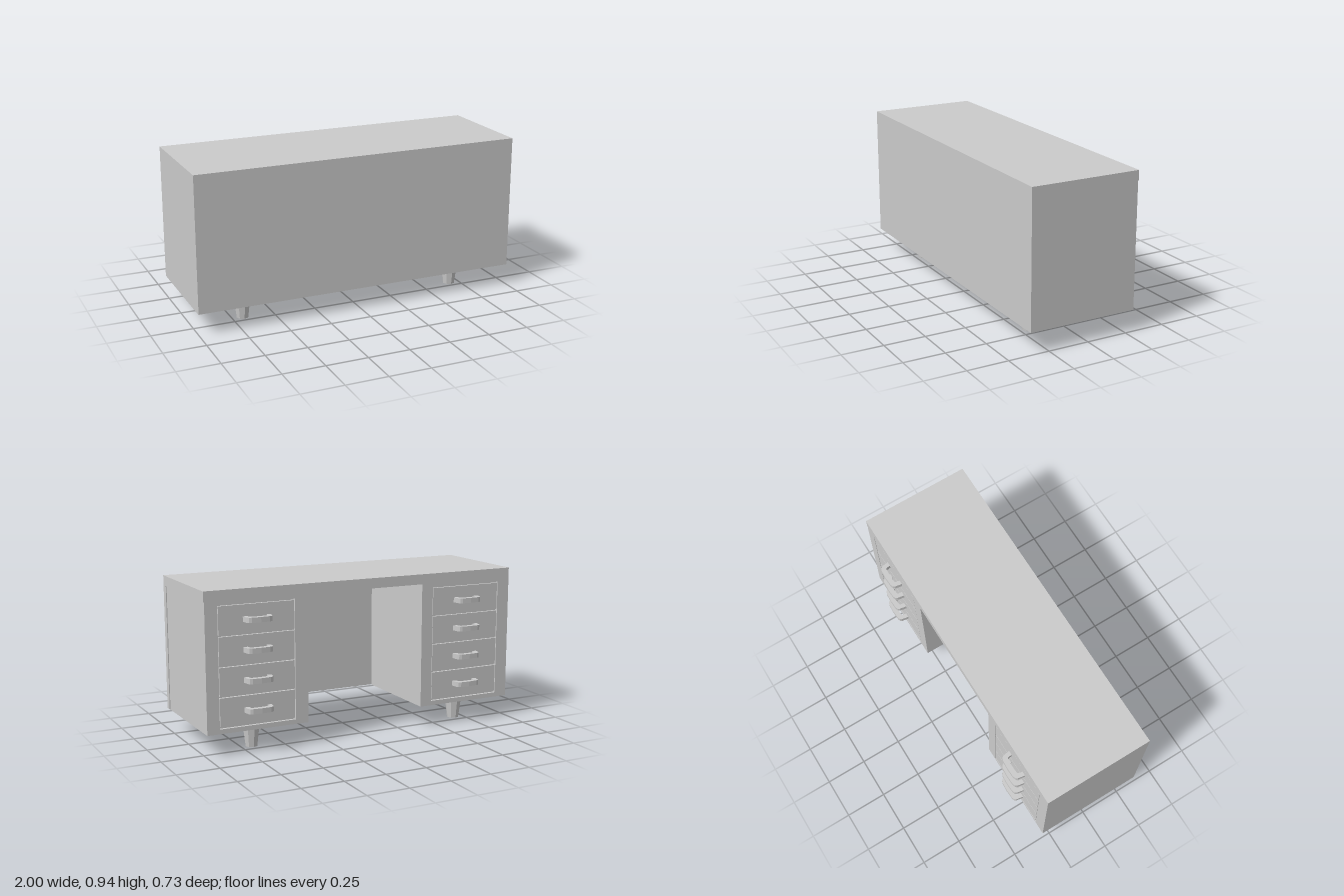
import * as THREE from 'three';

const material = new THREE.MeshStandardMaterial({ color: 0xcccccc, flatShading: true });

function add(parent, name, geometry, x = 0, y = 0, z = 0) {
  const mesh = new THREE.Mesh(geometry, material);
  mesh.name = name;
  mesh.position.set(x, y, z);
  parent.add(mesh);
  return mesh;
}

// Box given by its minimum and maximum on each axis
function addBox(parent, name, [x0, x1], [y0, y1], [z0, z1]) {
  return add(parent, name, new THREE.BoxGeometry(x1 - x0, y1 - y0, z1 - z0),
    (x0 + x1) / 2, (y0 + y1) / 2, (z0 + z1) / 2);
}

const polygon = (points) => points.map(([x, y]) => new THREE.Vector2(x, y));

const BACK = -0.302, FACE = 0.018, FRONT = 0.365;
const TOP = 0.94, UNDER = 0.88, BASE = 0.128;
const DRAWER_X = 0.687, DRAWER_W = 0.466, PITCH = 0.173, LOWEST = 0.25;
const SIDE = 0.995, KNEE_L = 0.373, KNEE_R = -0.38;

// Bow handle: trapezoid arch, open against the drawer
function handleGeometry() {
  const shape = new THREE.Shape(polygon([
    [-0.084, 0], [-0.077, 0.042], [-0.07, 0.053], [-0.055, 0.059], [0, 0.062],
    [0.055, 0.059], [0.07, 0.053], [0.077, 0.042], [0.084, 0],
    [0.057, 0], [0.054, 0.024], [0.047, 0.03], [0, 0.032],
    [-0.047, 0.03], [-0.054, 0.024], [-0.057, 0],
  ]));
  const geometry = new THREE.ExtrudeGeometry(shape, { depth: 0.03, bevelEnabled: false });
  return geometry.translate(0, 0, -0.015).rotateX(-Math.PI / 2);
}

export function createModel() {
  const desk = new THREE.Group();
  desk.name = 'desk';

  // Carcass: top, front panel and two pedestals
  addBox(desk, 'deskTop', [-1, 1], [UNDER, TOP], [BACK + FACE, FRONT]);
  addBox(desk, 'frontPanel', [-1, 1], [0.13, UNDER], [0.325, FRONT]);
  addBox(desk, 'leftPedestal', [KNEE_L, SIDE], [BASE, UNDER], [BACK + FACE, 0.325]);
  addBox(desk, 'rightPedestal', [-1, KNEE_R], [BASE, UNDER], [BACK + FACE, 0.325]);

  // Drawer-side frame, one plate with an opening in each pedestal
  const frame = new THREE.Shape(polygon([
    [-1, BASE], [KNEE_R, BASE], [KNEE_R, UNDER], [KNEE_L, UNDER], [KNEE_L, BASE],
    [SIDE, BASE], [SIDE, UNDER], [1, UNDER], [1, TOP], [-1, TOP],
  ]));
  const y0 = LOWEST - PITCH / 2 - 0.008, y1 = LOWEST + 3.5 * PITCH + 0.004;
  for (const side of [-1, 1]) {
    const a = side * DRAWER_X - DRAWER_W / 2, b = a + DRAWER_W;
    frame.holes.push(new THREE.Path(polygon([[a, y0], [a, y1], [b, y1], [b, y0]])));
  }
  add(desk, 'drawerFrame',
    new THREE.ExtrudeGeometry(frame, { depth: FACE, bevelEnabled: false }), 0, 0, BACK);

  const handle = handleGeometry();
  const leg = new THREE.CylinderGeometry(0.052, 0.036, BASE, 8);

  for (const side of [1, -1]) {
    const label = side > 0 ? 'left' : 'right';
    // Drawers with narrow gaps between them
    for (let i = 0; i < 4; i++) {
      const drawer = new THREE.Group();
      drawer.name = `${label}Drawer${i + 1}`;
      drawer.position.set(side * DRAWER_X, LOWEST + i * PITCH, BACK);
      add(drawer, 'drawerFront',
        new THREE.BoxGeometry(DRAWER_W - 0.008, PITCH - 0.009, FACE), 0, 0, FACE / 2 + 0.001);
      add(drawer, 'handle', handle);
      desk.add(drawer);
    }
    // Tapered legs
    for (const z of [0.197, -0.187]) {
      add(desk, `${label}${z > 0 ? 'Front' : 'Back'}Leg`, leg, side * 0.685, BASE / 2, z);
    }
  }
  return desk;
}
